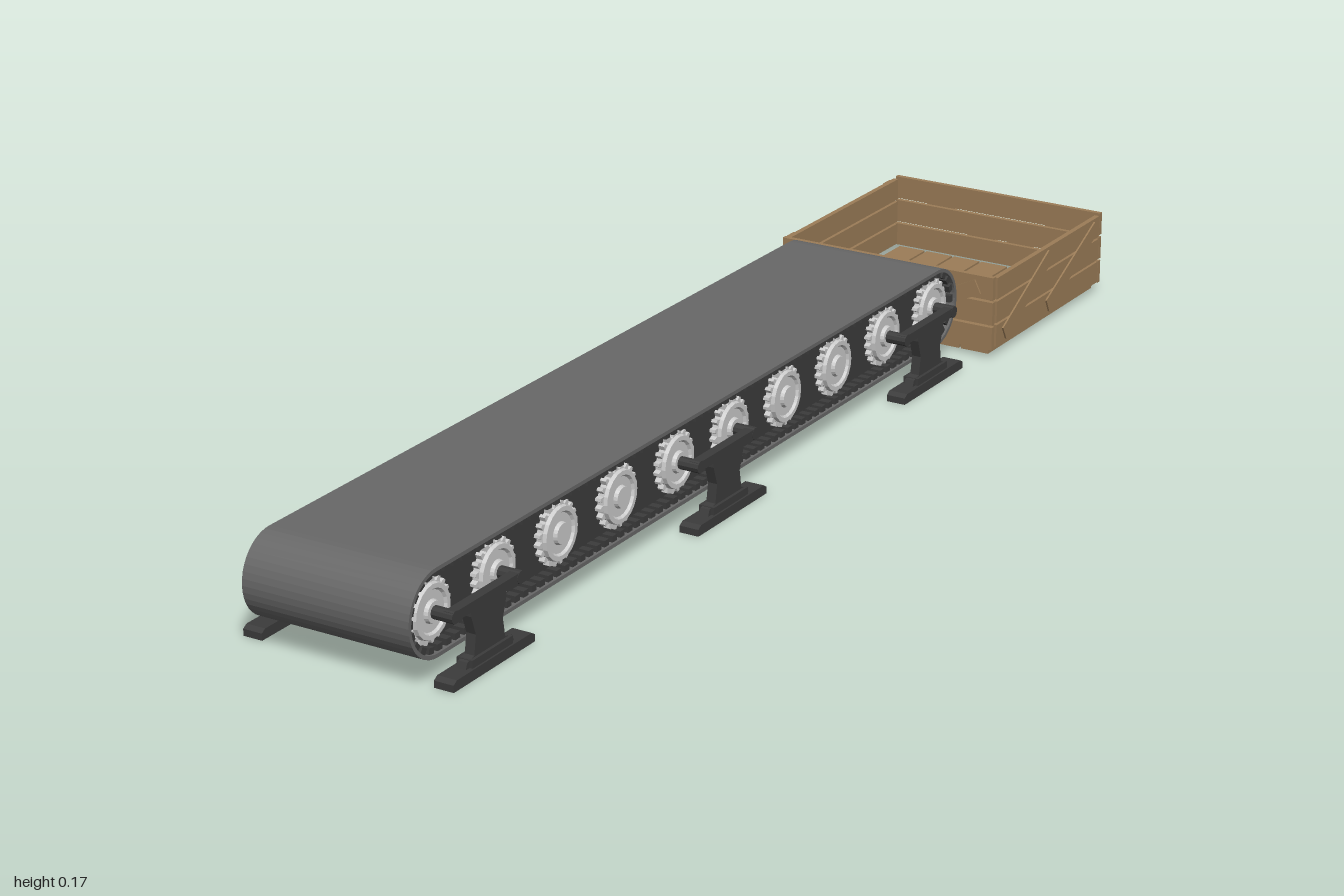
import * as THREE from 'three';
import { mergeGeometries } from 'three/addons/utils/BufferGeometryUtils.js';

const rubber = new THREE.MeshStandardMaterial({ color: 0x686868, flatShading: true });
const iron = new THREE.MeshStandardMaterial({ color: 0x3c3c3c, flatShading: true });
const steel = new THREE.MeshStandardMaterial({ color: 0xcccccc, flatShading: true });
const wood = new THREE.MeshStandardMaterial({ color: 0x9c7d58, flatShading: true });

const AXIS_Y = 0.104, Z0 = -0.508, Z1 = 0.933;

function add(parent, name, geometry, material) {
  const mesh = new THREE.Mesh(geometry, material);
  mesh.name = name;
  parent.add(mesh);
  return mesh;
}

function box(w, h, d, x, y, z) {
  return new THREE.BoxGeometry(w, h, d).translate(x, y, z);
}

// Extrude a (z, y) outline along x, centred on x = 0
function extrudeX(shape, width) {
  return new THREE.ExtrudeGeometry(shape, { depth: width, bevelEnabled: false, curveSegments: 10 })
    .translate(0, 0, -width / 2).rotateY(-Math.PI / 2);
}

// Stadium outline round both end rollers
function stadium(r, Type = THREE.Shape) {
  const s = new Type();
  s.moveTo(Z0, AXIS_Y - r);
  s.lineTo(Z1, AXIS_Y - r);
  s.absarc(Z1, AXIS_Y, r, -Math.PI / 2, Math.PI / 2, false);
  s.lineTo(Z0, AXIS_Y + r);
  s.absarc(Z0, AXIS_Y, r, Math.PI / 2, Math.PI * 1.5, false);
  return s;
}

// Cleats spaced evenly along the inside of the belt
function beltTeeth(r, width) {
  const parts = [], run = Z1 - Z0, n = 68, arcN = 9;
  for (let i = 0; i < n; i++) {
    const z = Z0 + (i + 0.5) * run / n;
    for (const s of [-1, 1]) parts.push(box(width, 0.012, 0.012, 0, AXIS_Y + s * r, z));
  }
  for (let i = 0; i < arcN; i++) {
    const a = (i + 0.5) / arcN * Math.PI;
    for (const [z, s] of [[Z1, 1], [Z0, -1]]) {
      parts.push(new THREE.BoxGeometry(width, 0.012, 0.012).translate(0, r, 0)
        .rotateX(s * a).translate(0, AXIS_Y, z));
    }
  }
  return mergeGeometries(parts);
}

// Toothed wheel with a raised rim and hub, facing +x
function wheelGeometry() {
  const gear = new THREE.Shape(), n = 20;
  for (let i = 0; i < n; i++) {
    [[0, 0.043], [0.2, 0.05], [0.5, 0.05], [0.7, 0.043]].forEach(([t, r], k) => {
      const a = (i + t) / n * Math.PI * 2;
      gear[i + k ? 'lineTo' : 'moveTo'](r * Math.cos(a), r * Math.sin(a));
    });
  }
  const teeth = new THREE.ExtrudeGeometry(gear, { depth: 0.012, bevelEnabled: false })
    .rotateY(Math.PI / 2).toNonIndexed ();
  const profile = [[0.043, 0.01], [0.041, 0.018], [0.034, 0.018], [0.031, 0.014],
    [0.018, 0.014], [0.016, 0.02], [0, 0.02]].map(p => new THREE.Vector2(...p));
  const face = new THREE.LatheGeometry(profile, 20).rotateZ(-Math.PI / 2).toNonIndexed();
  return mergeGeometries([teeth, face]);
}

// Pedestal outline: flat foot, waisted post, wide shoulders
function postShape() {
  const half = [[0.06, 0.014], [0.055, 0.026], [0.038, 0.03], [0.033, 0.06], [0.043, 0.09],
    [0.043, 0.097], [0.086, 0.097], [0.086, 0.112]];
  const pts = [...half, ...half.map(([z, y]) => [-z, y]).reverse()];
  return new THREE.Shape(pts.map(p => new THREE.Vector2(...p)));
}

function makeSupport() {
  const g = new THREE.Group();
  g.name = 'support';
  add(g, 'post', extrudeX(postShape(), 0.016).translate(0.165, 0, 0), iron);
  const foot = new THREE.Shape([[-0.1, 0], [0.1, 0], [0.1, 0.011], [0.092, 0.016],
    [-0.092, 0.016], [-0.1, 0.011]].map(p => new THREE.Vector2(...p)));
  add(g, 'foot', extrudeX(foot, 0.033).translate(0.1645, 0, 0), iron);
  add(g, 'footBlock', box(0.027, 0.014, 0.1, 0.1645, 0.021, 0), iron);
  for (const s of [-1, 1]) {
    add(g, 'axlePin', new THREE.CylinderGeometry(0.01, 0.01, 0.045, 10)
      .rotateZ(Math.PI / 2).translate(0.151, AXIS_Y, s * 0.08), iron);
  }
  return g;
}

// Three stacked boards, lying in the local xy plane
function wall(name, width, height, y0, thick) {
  const g = new THREE.Group(), step = height / 3;
  g.name = name;
  for (let i = 0; i < 3; i++) {
    add(g, 'board', box(width, step - 0.004, thick, 0, y0 + (i + 0.5) * step, 0), wood);
  }
  return g;
}

// Diagonal batten between two points of the local xy plane
function batten(parent, [ax, ay], [bx, by], z, thick) {
  const m = add(parent, 'brace',
    new THREE.BoxGeometry(Math.hypot(bx - ax, by - ay), 0.026, thick), wood);
  m.position.set((ax + bx) / 2, (ay + by) / 2, z);
  m.rotation.z = Math.atan2(by - ay, bx - ax);
}

function makeCrate() {
  const crate = new THREE.Group();
  crate.name = 'crate';
  // End walls and side walls, each with outer braces
  const V = [[[-0.16, 0.125], [-0.01, 0.035]], [[-0.01, 0.035], [0.16, 0.125]]];
  const N = [[[-0.165, 0.035], [0, 0.125]], [[-0.005, 0.035], [0.175, 0.125]]];
  const walls = [
    ['frontWall', 0.406, 0, 0, 0.2, N], ['backWall', 0.406, Math.PI, 0, -0.2, V],
    ['leftWall', 0.382, Math.PI / 2, 0.2, 0, N], ['rightWall', 0.382, -Math.PI / 2, -0.2, 0, []]];
  for (const [name, width, turn, x, z, braces] of walls) {
    const end = x === 0;
    const w = wall(name, width, end ? 0.132 : 0.126, end ? 0.014 : 0.017, 0.009);
    for (const [a, b] of braces) batten(w, a, b, 0.0055, 0.004);
    w.rotation.y = turn;
    w.position.set(x, 0, z);
    crate.add(w);
  }
  // Corner strips on the plain side
  for (const s of [-1, 1]) add(crate, 'cornerStrip', box(0.004, 0.12, 0.024, -0.206, 0.08, s * 0.17), wood);
  // Floor boards and their underside braces
  for (let i = 0; i < 7; i++) {
    add(crate, 'floorBoard', box(0.051, 0.009, 0.39, (i - 3) * 0.0555, 0.0095, 0), wood);
  }
  const under = new THREE.Group();
  under.name = 'floorBraces';
  for (const s of [-1, 0, 1]) {
    batten(under, [-0.165, s * 0.12 - 0.05], [0.165, s * 0.12 + 0.05], -0.0025, 0.005);
  }
  under.rotation.x = -Math.PI / 2;
  under.position.y = 0.005;
  crate.add(under);
  crate.position.z = -0.793;
  return crate;
}

export function createModel() {
  const root = new THREE.Group();
  root.name = 'conveyorWithCrate';

  // Belt loop with cleats, and the frame it runs on
  const conveyor = new THREE.Group();
  conveyor.name = 'conveyor';
  root.add(conveyor);
  const loop = stadium(0.067);
  loop.holes.push(stadium(0.061, THREE.Path));
  add(conveyor, 'belt', extrudeX(loop, 0.284), rubber);
  add(conveyor, 'beltTeeth', beltTeeth(0.057, 0.276), iron);
  add(conveyor, 'frame', extrudeX(stadium(0.053), 0.24), iron);

  // Ten wheels along each side
  const wheelGeo = wheelGeometry();
  for (let i = 0; i < 10; i++) {
    for (const s of [-1, 1]) {
      const wheel = add(conveyor, 'wheel', wheelGeo, steel);
      wheel.position.set(s * 0.118, AXIS_Y, Z1 + (Z0 - Z1) * i / 9);
      if (s < 0) wheel.rotation.y = Math.PI;
    }
  }

  // Three supports on each side
  for (const z of [0.853, 0.213, -0.428]) {
    for (const s of [-1, 1]) {
      const support = makeSupport();
      support.position.z = z;
      if (s < 0) support.rotation.y = Math.PI;
      conveyor.add(support);
    }
  }

  root.add(makeCrate());
  return root;
}
